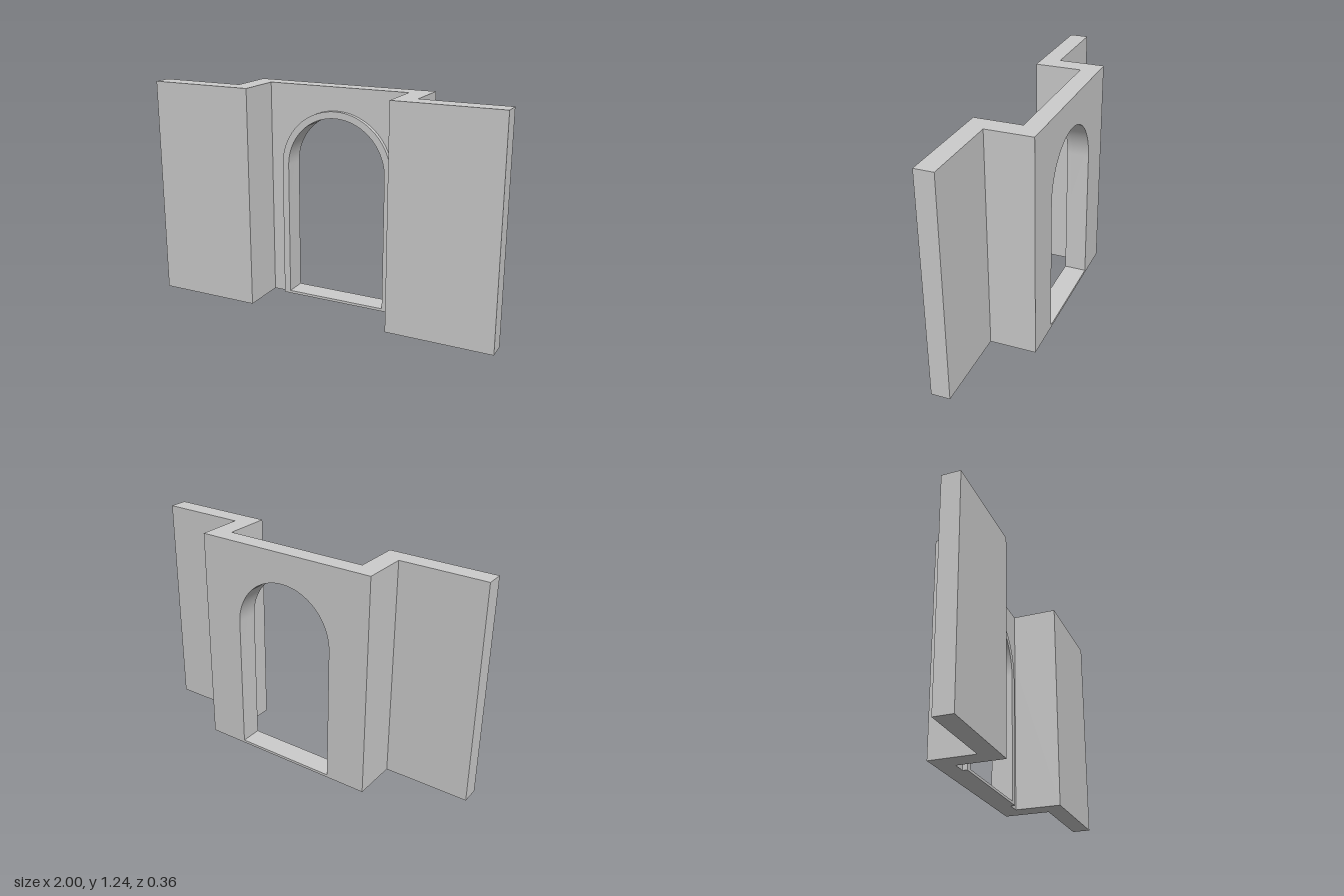
import * as THREE from 'three';
import { toCreasedNormals } from 'three/addons/utils/BufferGeometryUtils.js';

const HEIGHT = 1.235, SPRING = 0.775, SILL = 0.015;
const BACK = -0.18, NICHE = -0.08, FRONT = 0.18, THICK = 0.103;
const INNER = 0.41, OUTER = 0.52, OPENING = 0.292, TRIM = 0.33;

// Round-headed doorway outline standing on y = base
function arch(Type, radius, base) {
  const s = new Type();
  s.moveTo(-radius, base);
  s.lineTo(radius, base);
  s.lineTo(radius, SPRING);
  s.absarc(0, SPRING, radius, 0, Math.PI, false);
  s.lineTo(-radius, base);
  return s;
}

function rectangle(x0, y0, x1, y1) {
  return new THREE.Shape([[x0, y0], [x1, y0], [x1, y1], [x0, y1]].map(([x, y]) => new THREE.Vector2(x, y)));
}

function extrude(shape, depth) {
  return new THREE.ExtrudeGeometry(shape, { depth, bevelEnabled: false, curveSegments: 32 });
}

export function createModel() {
  const group = new THREE.Group();
  const material = new THREE.MeshStandardMaterial({ color: 0xcccccc });
  const add = (name, geometry) => {
    const mesh = new THREE.Mesh(toCreasedNormals(geometry, 0.5), material);
    mesh.name = name;
    group.add(mesh);
  };

  // Recessed wall pierced by the doorway, with a low sill left below
  const wall = rectangle(-INNER, 0, INNER, HEIGHT);
  wall.holes.push(arch(THREE.Path, OPENING, SILL));
  add('recessedWall', extrude(wall, NICHE - BACK).translate(0, 0, BACK));

  // Raised surround following the doorway
  const surround = arch(THREE.Shape, TRIM, 0);
  surround.holes.push(arch(THREE.Path, OPENING, SILL));
  add('doorSurround', extrude(surround, 0.025).translate(0, 0, NICHE));

  // Stepped side walls: plan outline (x, z) raised to full height
  for (const side of [1, -1]) {
    const plan = [
      [INNER, BACK], [OUTER, BACK], [OUTER, FRONT - THICK],
      [1, FRONT - THICK], [1, FRONT], [INNER, FRONT],
    ].map(([x, z]) => new THREE.Vector2(side * x, -z));
    add(side > 0 ? 'leftWing' : 'rightWing', extrude(new THREE.Shape(plan), HEIGHT).rotateX(-Math.PI / 2));
  }
  return group;
}
